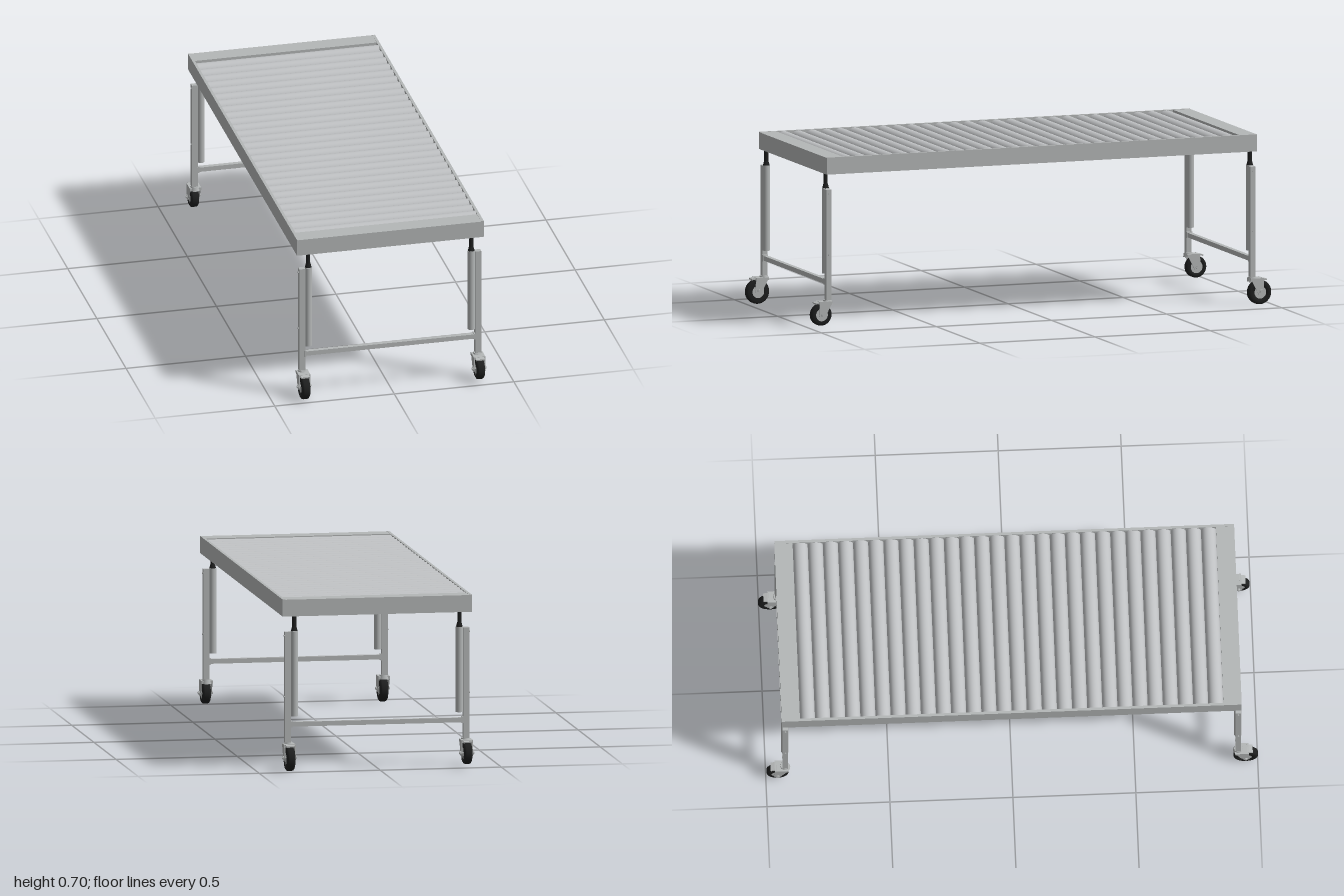
import * as THREE from 'three';

const frameGrey = new THREE.MeshStandardMaterial({ color: 0xb4b7b7, name: 'frame grey' });
const rollerGrey = new THREE.MeshStandardMaterial({ color: 0xbfc1c3, name: 'roller grey' });
const rubberBlack = new THREE.MeshStandardMaterial({ color: 0x1e1f1f, name: 'rubber black' });

function add(parent, name, geometry, material, x = 0, y = 0, z = 0) {
  const mesh = new THREE.Mesh(geometry, material);
  mesh.name = name;
  mesh.position.set(x, y, z);
  parent.add(mesh);
  return mesh;
}
const box = (w, h, d) => new THREE.BoxGeometry(w, h, d);
const tube = (rTop, rBottom, h, n = 24) => new THREE.CylinderGeometry(rTop, rBottom, h, n);
// cylinder lying along x
const axle = (r, length, n = 24) => tube(r, r, length, n).rotateZ(Math.PI / 2);

// Shallow bed: floor, side rails, end beams and a row of rollers
function makeBed() {
  const bed = new THREE.Group();
  bed.name = 'rollerBed';
  add(bed, 'floorPlate', box(0.77, 0.008, 1.86), frameGrey, 0, 0.635, 0);
  for (const s of [-1, 1]) {
    add(bed, 'sideRail', box(0.011, 0.07, 1.868), frameGrey, s * 0.3855, 0.666, 0);
    add(bed, 'endBeam', box(0.774, 0.069, 0.074), frameGrey, 0, 0.6655, s * 0.898);
  }
  const count = 28, pitch = 1.722 / count;
  const geometry = axle(pitch / 2, 0.76, 28);
  for (let i = 0; i < count; i++) {
    add(bed, 'roller', geometry, rollerGrey, 0, 0.6695, (i - (count - 1) / 2) * pitch);
  }
  return bed;
}

// Swivel caster around x = 0, trailing towards +z
function makeCaster(radius, y) {
  const caster = new THREE.Group();
  caster.name = 'caster';
  const z = 0.952;
  // swivel head and the tab above the wheel
  add(caster, 'swivelHead', tube(0.017, 0.022, 0.018), frameGrey, 0, 0.105, 0.922);
  add(caster, 'forkBridge', box(0.048, 0.012, 0.055), frameGrey, 0, 0.103, 0.936);
  const tab = add(caster, 'brakeTab', box(0.036, 0.006, 0.024), frameGrey, 0, 0.104, 0.968);
  tab.rotation.x = 0.2;
  // tapered fork plates
  const shape = new THREE.Shape();
  shape.moveTo(0.909, 0.106);
  shape.lineTo(0.935, 0.056);
  shape.absarc(z, 0.055, 0.015, Math.PI, Math.PI * 2, false);
  shape.lineTo(0.963, 0.106);
  shape.closePath();
  const plate = new THREE.ExtrudeGeometry(shape, { depth: 0.004, bevelEnabled: false, curveSegments: 10 });
  plate.rotateY(-Math.PI / 2).translate(0.002, 0, 0);
  for (const s of [-1, 1]) add(caster, 'forkPlate', plate, frameGrey, s * 0.0215, 0, 0);
  // tyre with rounded shoulders, turned around its axle
  const w = 0.017, r = radius, inner = 0.026;
  const profile = [[inner, -w], [r - 0.008, -w], [r - 0.002, -w + 0.004], [r, -w + 0.009],
    [r, w - 0.009], [r - 0.002, w - 0.004], [r - 0.008, w], [inner, w], [inner, -w]]
    .map(p => new THREE.Vector2(p[0], p[1]));
  add(caster, 'tyre', new THREE.LatheGeometry(profile, 36).rotateZ(Math.PI / 2), rubberBlack, 0, y, z);
  add(caster, 'hub', axle(0.0265, 0.028), frameGrey, 0, y, z);
  add(caster, 'axleBolt', axle(0.004, 0.062, 12), frameGrey, 0, 0.055, z);
  for (const s of [-1, 1]) add(caster, 'axleNut', axle(0.008, 0.005, 6), frameGrey, s * 0.026, 0.055, z);
  return caster;
}

// Leg with its lifting cylinder and caster; side is -1 or 1
function makeLeg(side) {
  const leg = new THREE.Group();
  leg.name = 'leg';
  const z = 0.921;
  add(leg, 'post', box(0.025, 0.455, 0.022), frameGrey, side * 0.368, 0.3395, z);
  add(leg, 'liftSleeve', tube(0.0155, 0.0155, 0.35), frameGrey, side * 0.341, 0.395, z);
  add(leg, 'pistonCollar', tube(0.009, 0.0135, 0.018), rubberBlack, side * 0.341, 0.579, z);
  add(leg, 'piston', tube(0.0085, 0.0085, 0.055), rubberBlack, side * 0.341, 0.607, z);
  for (const y of [0.3, 0.55]) add(leg, 'screw', axle(0.004, 0.006, 12), frameGrey, side * 0.381, y, z);
  add(leg, 'barBracket', box(0.008, 0.026, 0.023), frameGrey, side * 0.354, 0.1875, z);
  const caster = side < 0 ? makeCaster(0.05, 0.05) : makeCaster(0.0445, 0.0545);
  caster.position.x = side * 0.366;
  leg.add(caster);
  return leg;
}

export function createModel() {
  const model = new THREE.Group();
  model.name = 'rollerTable';
  model.add(makeBed());
  // the back end is the front end turned half round
  for (const angle of [0, Math.PI]) {
    const end = new THREE.Group();
    end.name = angle ? 'backLegs' : 'frontLegs';
    end.add(makeLeg(-1), makeLeg(1));
    add(end, 'crossBar', box(0.71, 0.019, 0.019), frameGrey, 0, 0.1875, 0.921);
    end.rotation.y = angle;
    model.add(end);
  }
  return model;
}
